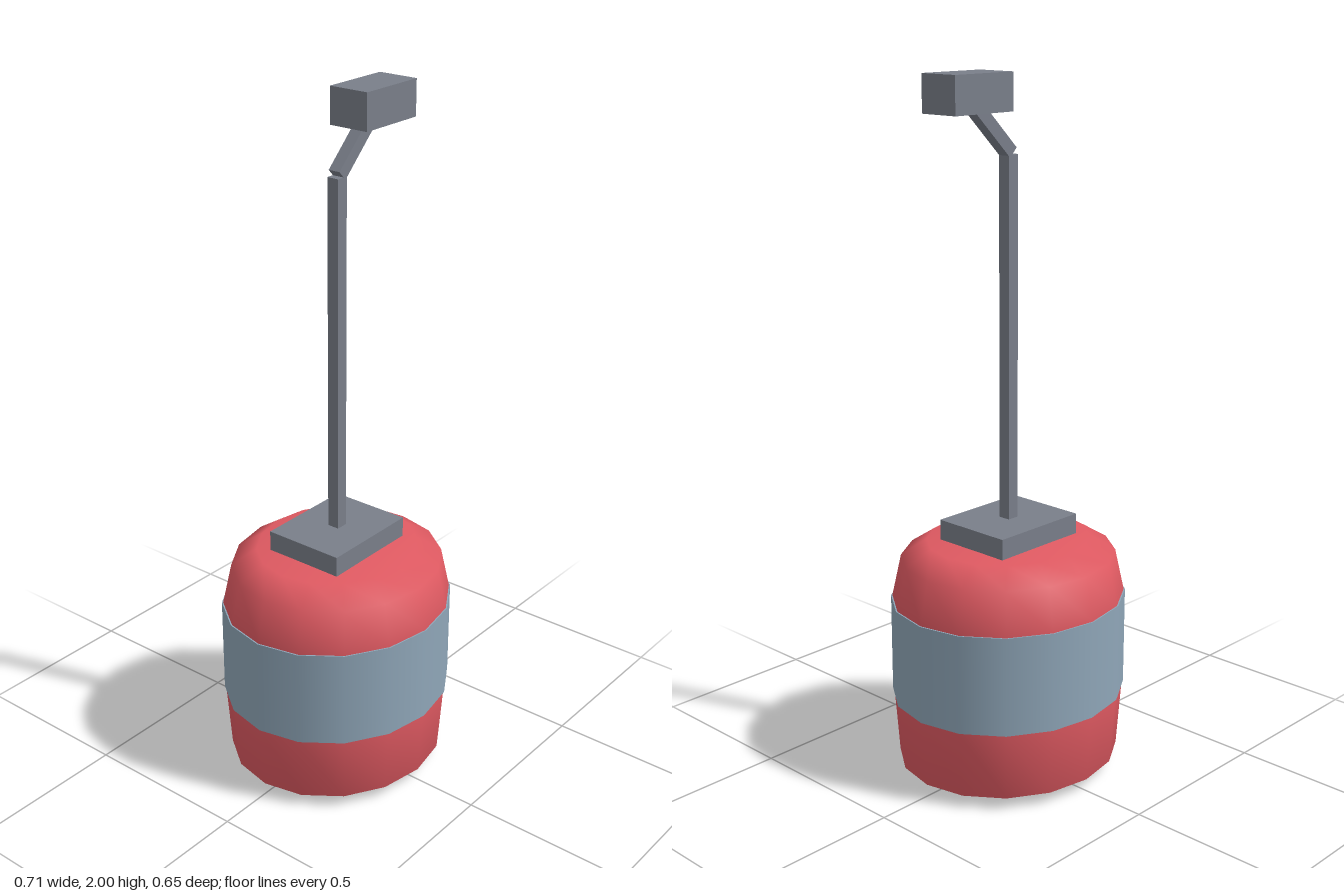
import * as THREE from 'three';

const mat = (color) => new THREE.MeshStandardMaterial({ color });

export function createModel() {
  const group = new THREE.Group();
  const red = mat(0xe05a62), steel = mat(0x8fa6b8), grey = mat(0x7a7f8a);
  const depth = 0.915; // the barrel is slightly oval

  const add = (name, geometry, material, x = 0, y = 0, z = 0) => {
    const mesh = new THREE.Mesh(geometry, material);
    mesh.name = name;
    mesh.position.set(x, y, z);
    group.add(mesh);
    return mesh;
  };

  // Rounded barrel body
  const profile = [
    [0, 0], [0.275, 0.006], [0.335, 0.036], [0.35, 0.235],
    [0.35, 0.525], [0.322, 0.648], [0.245, 0.695], [0, 0.697],
  ].map(([r, y]) => new THREE.Vector2(r, y));
  add('barrelBody', new THREE.LatheGeometry(profile, 16).scale(1, 1, depth), red);

  // Wide band around the barrel
  add('barrelBand', new THREE.CylinderGeometry(0.354, 0.354, 0.29, 16).scale(1, 1, depth), steel, 0, 0.38);

  // Plate and upright post
  add('basePlate', new THREE.BoxGeometry(0.306, 0.062, 0.244), grey, 0, 0.724);
  add('post', new THREE.BoxGeometry(0.036, 1.04, 0.036), grey, 0, 1.26);

  // Slanted arm from the post top up into the head
  const from = new THREE.Vector2(0, 1.785), to = new THREE.Vector2(0.15, 1.93);
  const span = to.clone().sub(from);
  const arm = add('slantedArm', new THREE.BoxGeometry(span.length(), 0.036, 0.036), grey,
    (from.x + to.x) / 2, (from.y + to.y) / 2);
  arm.rotation.z = span.angle();

  // Box head
  add('head', new THREE.BoxGeometry(0.212, 0.102, 0.122), grey, 0.152, 1.949);

  return group;
}
